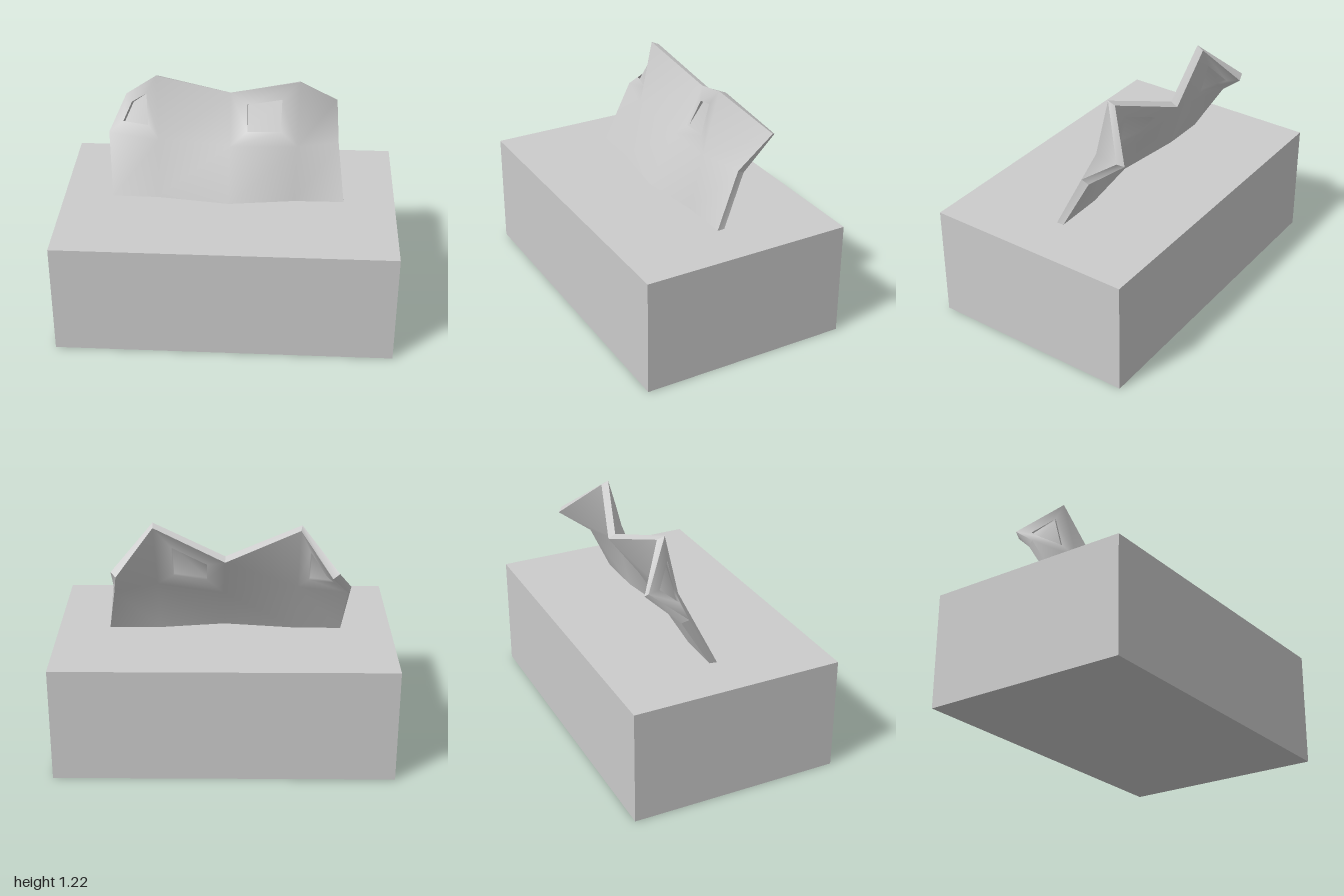
import * as THREE from 'three';

const THICK = 0.042;
const DENT = 0.014;

// Front surface of the tissue: rows from the box upwards, columns from -x to +x
const ROWS = [
  [[-0.61, 0.6, 0.015], [-0.37, 0.6, 0.018], [0, 0.6, 0.067], [0.34, 0.6, 0.019], [0.6, 0.6, 0.015]],
  [[-0.64, 0.89, -0.155], [-0.37, 0.89, -0.08], [0, 0.86, -0.08], [0.35, 0.89, -0.045], [0.565, 0.88, -0.116]],
  [[-0.565, 1.03, -0.33], [-0.385, 1.22, -0.16], [-0.005, 1.09, -0.25], [0.358, 1.22, -0.127], [0.556, 1.03, -0.315]],
];
// Upper-row cells with a small sunken panel
const DENTED = [0, 2];
const COLS = 5;

function geometryFrom(points, index) {
  const g = new THREE.BufferGeometry();
  g.setAttribute('position', new THREE.Float32BufferAttribute(points.flatMap((p) => p.toArray()), 3));
  g.setIndex(index);
  g.computeVertexNormals();
  return g;
}

// One smooth face of the sheet; side is +1 for the front, -1 for the back
function sheetFace(grid, side) {
  const points = grid.map((p) => p.clone());
  const index = [];
  const quad = (a, b, c, d) =>
    index.push(...(side > 0 ? [a, b, c, a, c, d] : [a, c, b, a, d, c]));
  for (let r = 0; r < 2; r++) {
    for (let c = 0; c < COLS - 1; c++) {
      const a = r * COLS + c;
      const corners = [a, a + 1, a + 1 + COLS, a + COLS];
      if (r === 0 || !DENTED.includes(c)) {
        quad(...corners);
        continue;
      }
      // Inset the cell, then sink its middle
      const p = corners.map((i) => points[i]);
      const centre = p.reduce((s, v) => s.add(v), new THREE.Vector3()).divideScalar(4);
      const normal = new THREE.Vector3().crossVectors(
        p[2].clone().sub(p[0]), p[3].clone().sub(p[1])).normalize();
      const rim = points.length;
      p.forEach((v) => points.push(v.clone().lerp(centre, 0.5)));
      const floor = points.length;
      for (let i = 0; i < 4; i++) {
        points.push(points[rim + i].clone().addScaledVector(normal, -side * DENT));
      }
      for (let i = 0; i < 4; i++) {
        const j = (i + 1) % 4;
        quad(corners[i], corners[j], rim + j, rim + i);
        quad(rim + i, rim + j, floor + j, floor + i);
      }
      quad(floor, floor + 1, floor + 2, floor + 3);
    }
  }
  return geometryFrom(points, index);
}

// Back surface: front grid pushed in along its smooth normals
function offsetGrid(grid) {
  const index = [];
  for (let r = 0; r < 2; r++) {
    for (let c = 0; c < COLS - 1; c++) {
      const a = r * COLS + c;
      index.push(a, a + 1, a + 1 + COLS, a, a + 1 + COLS, a + COLS);
    }
  }
  const n = geometryFrom(grid, index).getAttribute('normal');
  return grid.map((p, i) => {
    const q = p.clone().addScaledVector(new THREE.Vector3().fromBufferAttribute(n, i), -THICK);
    if (i < COLS) q.y = p.y;
    return q;
  });
}

// Thin rim joining front and back around the outline
function sheetRim(front, back) {
  const loop = [0, 1, 2, 3, 4, 9, 14, 13, 12, 11, 10, 5];
  const points = [];
  const index = [];
  loop.forEach((a, i) => {
    const b = loop[(i + 1) % loop.length];
    const k = points.length;
    points.push(front[a], back[a], back[b], front[b]);
    index.push(k, k + 1, k + 2, k, k + 2, k + 3);
  });
  return geometryFrom(points, index);
}

export function createModel() {
  const model = new THREE.Group();
  model.name = 'tissueBox';
  const grey = new THREE.MeshStandardMaterial({ color: 0xcccccc });
  const cloth = new THREE.MeshStandardMaterial({ color: 0xcccccc, side: THREE.DoubleSide });
  const add = (parent, name, geometry, material) => {
    const mesh = new THREE.Mesh(geometry, material);
    mesh.name = name;
    parent.add(mesh);
    return mesh;
  };

  // Carton
  add(model, 'carton', new THREE.BoxGeometry(1.73, 0.6, 1.095), grey).position.y = 0.3;

  // Oval opening panel lying on the top
  const opening = add(model, 'openingPanel', new THREE.CircleGeometry(1, 12), grey);
  opening.rotation.x = -Math.PI / 2;
  opening.scale.set(0.7, 0.39, 1);
  opening.position.y = 0.601;

  // Tissue sheet pulled out of the opening
  const tissue = new THREE.Group();
  tissue.name = 'tissue';
  model.add(tissue);
  const front = ROWS.flat().map((p) => new THREE.Vector3(...p));
  const back = offsetGrid(front);
  add(tissue, 'tissueFront', sheetFace(front, 1), cloth);
  add(tissue, 'tissueBack', sheetFace(back, -1), cloth);
  add(tissue, 'tissueRim', sheetRim(front, back), cloth);

  // The whole box stands turned on its base
  model.rotation.y = -0.342;
  const root = new THREE.Group();
  root.name = 'model';
  root.add(model);
  return root;
}
